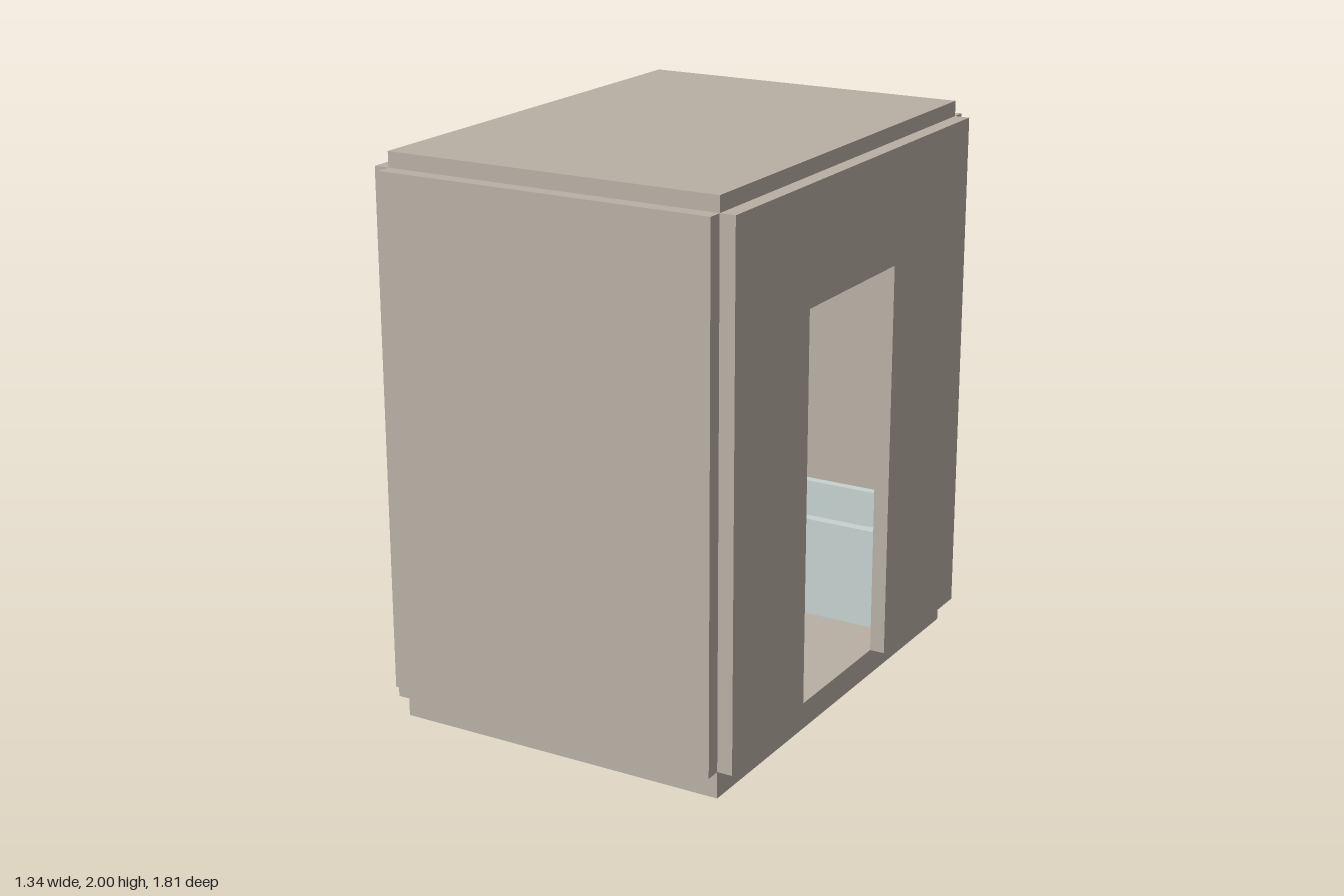
import * as THREE from 'three';
import { RoundedBoxGeometry } from 'three/addons/geometries/RoundedBoxGeometry.js';

const mat = (name, color) => {
  const m = new THREE.MeshStandardMaterial({ color });
  m.name = name;
  return m;
};

export function createModel() {
  const root = new THREE.Group();
  root.name = 'bathroomPod';
  const panel = mat('warm grey panel', 0xb8b0a4);
  const ceramic = mat('pale ceramic', 0xc6d1cf);

  const add = (name, geo, material, parent = root) => {
    const m = new THREE.Mesh(geo, material);
    m.name = name;
    parent.add(m);
    return m;
  };
  // Box given by its minimum and maximum corners; r rounds the edges
  const box = (name, [x0, y0, z0], [x1, y1, z1], material, r = 0, parent = root) => {
    const s = [x1 - x0, y1 - y0, z1 - z0];
    const geo = r ? new RoundedBoxGeometry(...s, 5, r) : new THREE.BoxGeometry(...s);
    const m = add(name, geo, material, parent);
    m.position.set((x0 + x1) / 2, (y0 + y1) / 2, (z0 + z1) / 2);
    return m;
  };
  // Rounded rectangle outline for plans
  const roundRect = (P, x0, y0, x1, y1, r) => {
    const p = new P();
    p.absarc(x1 - r, y1 - r, r, 0, Math.PI / 2);
    p.absarc(x0 + r, y1 - r, r, Math.PI / 2, Math.PI);
    p.absarc(x0 + r, y0 + r, r, Math.PI, Math.PI * 1.5);
    p.absarc(x1 - r, y0 + r, r, Math.PI * 1.5, Math.PI * 2);
    p.closePath();
    return p;
  };

  // Shell: slabs and wall panels meeting at open corner notches
  const X = 0.616, Z = 0.85, T = 0.055, Y0 = 0.095, Y1 = 1.945;
  box('floorSlab', [-X, 0, -Z], [X, Y0, Z], panel);
  box('ceilingSlab', [-X, Y1, -Z], [X, 2, Z], panel);
  box('frontWall', [-X, Y0, Z], [X, Y1, Z + T], panel);
  box('backWall', [-X, Y0, -Z - T], [X, Y1, -Z], panel);
  box('rightWall', [-X - T, Y0, -Z], [-X, Y1, Z], panel);

  // Wall with the doorway, drawn with u = -z
  const doorWall = new THREE.Shape([
    [-Z, Y0], [-0.36, Y0], [-0.36, 1.535], [0.265, 1.535], [0.265, Y0], [Z, Y0], [Z, Y1], [-Z, Y1],
  ].map(([u, v]) => new THREE.Vector2(u, v)));
  const dw = add('doorWall', new THREE.ExtrudeGeometry(doorWall, { depth: T, bevelEnabled: false }), panel);
  dw.rotation.y = Math.PI / 2;
  dw.position.x = X;

  // Service box and wall cupboard behind the toilet
  box('cisternBox', [-X, Y0, 0.175], [-0.45, 0.92, Z], panel);
  box('wallCupboard', [-X, 0.99, 0.175], [-0.45, 1.75, Z], panel);
  box('flushPlate', [-0.45, 0.75, 0.325], [-0.442, 0.845, 0.475], panel);

  // Wall-hung toilet
  const toilet = new THREE.Group();
  toilet.name = 'toilet';
  root.add(toilet);
  box('toiletBowl', [-0.47, 0.23, 0.22], [-0.06, 0.4, 0.56], ceramic, 0.06, toilet);
  const lid = add('toiletLid', new THREE.ExtrudeGeometry(
    roundRect(THREE.Shape, -0.44, -0.565, -0.05, -0.215, 0.1), { depth: 0.014, bevelEnabled: false, curveSegments: 10 }), ceramic, toilet);
  lid.rotation.x = -Math.PI / 2;
  lid.position.y = 0.4;

  // Vanity, basin, tap and mirror
  const vanity = new THREE.Group();
  vanity.name = 'vanity';
  root.add(vanity);
  box('vanityCabinet', [-X, 0.335, -0.29], [-0.22, 0.675, 0.11], panel, 0, vanity);
  box('vanityTop', [-X, 0.675, -0.295], [-0.215, 0.692, 0.113], ceramic, 0, vanity);
  const rim = roundRect(THREE.Shape, -0.52, -0.06, -0.25, 0.24, 0.05);
  rim.holes.push(roundRect(THREE.Path, -0.505, -0.045, -0.265, 0.225, 0.04));
  const basin = add('basinRim', new THREE.ExtrudeGeometry(rim, { depth: 0.026, bevelEnabled: false }), ceramic, vanity);
  basin.rotation.x = -Math.PI / 2;
  basin.position.y = 0.692;
  const tapPath = new THREE.CatmullRomCurve3([
    [-0.56, 0.69], [-0.56, 0.77], [-0.54, 0.806], [-0.5, 0.808], [-0.46, 0.79],
  ].map(([x, y]) => new THREE.Vector3(x, y, -0.087)));
  add('tap', new THREE.TubeGeometry(tapPath, 20, 0.008, 10), ceramic, vanity);
  box('mirrorBacking', [-X, 0.85, -0.29], [-0.6, 1.6, 0.113], panel, 0, vanity);
  box('mirror', [-0.6, 0.853, -0.287], [-0.593, 1.597, 0.108], ceramic, 0, vanity);

  // Bathtub across the back wall
  const tub = new THREE.Group();
  tub.name = 'bathtub';
  root.add(tub);
  const ring = (name, inset, y, h, hole) => {
    const s = roundRect(THREE.Shape, -0.61 + inset, 0.44 + inset, 0.61 - inset, 0.845, 0.03);
    if (hole) s.holes.push(roundRect(THREE.Path, -0.56, 0.48, 0.56, 0.81, 0.09));
    const m = add(name, new THREE.ExtrudeGeometry(s, { depth: h, bevelEnabled: false, curveSegments: 8 }), ceramic, tub);
    m.rotation.x = -Math.PI / 2;
    m.position.y = y;
  };
  ring('tubBase', 0.01, Y0, 0.05, false);
  ring('tubBody', 0.01, 0.145, 0.305, true);
  ring('tubRim', 0, 0.45, 0.025, true);

  // Tall cupboard against the front wall with four door fronts
  const cupboard = new THREE.Group();
  cupboard.name = 'tallCupboard';
  root.add(cupboard);
  box('cupboardBody', [0.08, Y0, 0.515], [0.6, Y1, Z], panel, 0, cupboard);
  for (const [x0, x1] of [[0.08, 0.295], [0.299, 0.6]])
    for (const [y0, y1] of [[Y0, 0.82], [0.84, Y1]])
      box('cupboardDoor', [x0, y0, 0.5], [x1, y1, 0.515], panel, 0, cupboard);

  return root;
}
